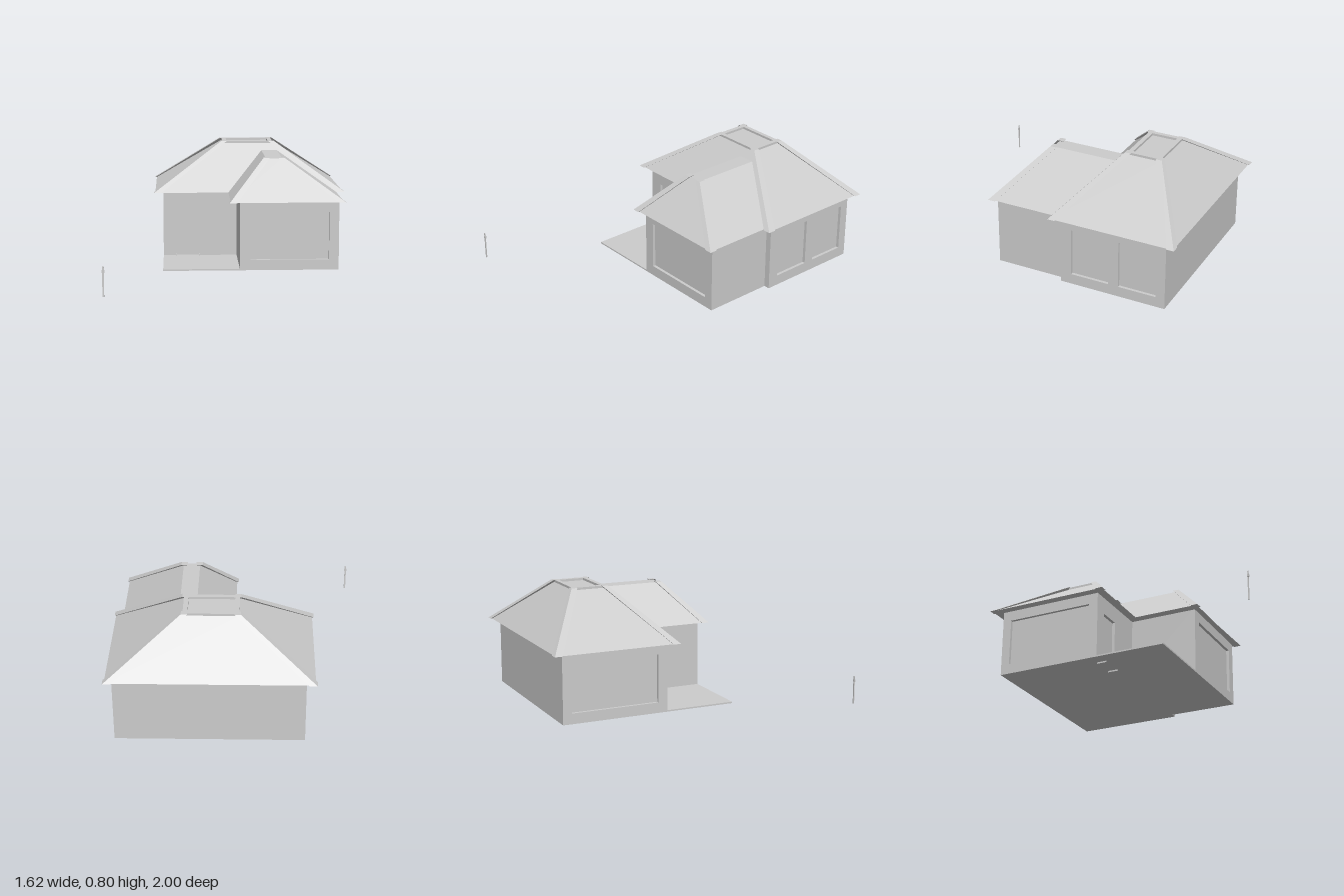
import * as THREE from 'three';

const material = new THREE.MeshStandardMaterial({ color: 0xcccccc, flatShading: true });
const BASE = 0.01, EAVE = 0.47, RECESS = 0.02;

function add(parent, name, geometry) {
  const mesh = new THREE.Mesh(geometry, material);
  mesh.name = name;
  parent.add(mesh);
  return mesh;
}

// Box given by its limits on each axis
function block(parent, name, x0, x1, y0, y1, z0, z1) {
  const mesh = add(parent, name, new THREE.BoxGeometry(x1 - x0, y1 - y0, z1 - z0));
  mesh.position.set((x0 + x1) / 2, (y0 + y1) / 2, (z0 + z1) / 2);
  return mesh;
}

// Closed solid between two four-cornered plans at different heights
function loft(low, y0, high, y1) {
  const area = low.reduce((s, [x, z], i) => {
    const [nx, nz] = low[(i + 1) % 4];
    return s + x * nz - nx * z;
  }, 0);
  if (area > 0) { low = [...low].reverse(); high = [...high].reverse(); }
  const a = low.map(([x, z]) => [x, y0, z]), b = high.map(([x, z]) => [x, y1, z]);
  const points = [];
  const quad = (p, q, r, s) => points.push(...p, ...q, ...r, ...p, ...r, ...s);
  for (let i = 0; i < 4; i++) {
    const j = (i + 1) % 4;
    quad(a[i], a[j], b[j], b[i]);
  }
  quad(b[0], b[1], b[2], b[3]);
  quad(a[3], a[2], a[1], a[0]);
  const geometry = new THREE.BufferGeometry();
  geometry.setAttribute('position', new THREE.Float32BufferAttribute(points, 3));
  geometry.computeVertexNormals();
  return geometry;
}

const rect = (x0, x1, z0, z1) => [[x0, z0], [x1, z0], [x1, z1], [x0, z1]];

// Plan of a hip strip: a small square reaching inwards from a corner
const corner = (x, z, sx, sz, w) => [[x, z], [x + sx * w, z], [x + sx * w, z + sz * w], [x, z + sz * w]];

function rectShape(Kind, u0, u1, v0, v1) {
  return new Kind([[u0, v0], [u1, v0], [u1, v1], [u0, v1]].map(p => new THREE.Vector2(...p)));
}

// Wall sheet with rectangular openings
function wall(parent, name, u0, u1, openings) {
  const shape = rectShape(THREE.Shape, u0, u1, BASE, EAVE);
  openings.forEach(o => shape.holes.push(rectShape(THREE.Path, ...o)));
  return add(parent, name, new THREE.ExtrudeGeometry(shape, { depth: RECESS, bevelEnabled: false }));
}

export function createModel() {
  const house = new THREE.Group();
  house.name = 'house';

  // Main block: the core forms the recessed panes and the door leaf
  const main = new THREE.Group();
  main.name = 'mainBlock';
  house.add(main);
  block(main, 'mainCore', -0.43, 0.74, BASE, EAVE, -0.93, -0.225);
  wall(main, 'doorWall', -0.43, 0.74, [[-0.36, -0.2, 0.02, 0.355]]).position.z = -0.225;
  const windowWall = wall(main, 'twoWindowWall', 0.205, 0.93, [[0.28, 0.54, 0.08, 0.4], [0.61, 0.87, 0.08, 0.4]]);
  windowWall.rotation.y = Math.PI / 2;
  windowWall.position.x = 0.74;
  const wideWall = wall(main, 'wideWindowWall', -0.93, -0.205, [[-0.87, -0.27, 0.08, 0.4]]);
  wideWall.rotation.y = -Math.PI / 2;
  wideWall.position.x = -0.43;
  for (const x of [-0.36, -0.2]) block(main, 'doorJambFoot', x - 0.003, x + 0.003, 0, 0.03, -0.248, -0.18);

  // Front wing
  const wing = new THREE.Group();
  wing.name = 'frontWing';
  house.add(wing);
  block(wing, 'wingCore', 0.06, 0.72, BASE, EAVE, -0.215, 0.25);
  wall(wing, 'wingFrontWall', 0.06, 0.72, [[0.13, 0.655, 0.08, 0.4]]).position.z = 0.25;

  // Porch floor
  block(house, 'porchSlab', -0.45, 0.06, BASE, 0.02, -0.205, 0.27);

  // Main roof: slightly sunken slopes between raised hips
  const roof = new THREE.Group();
  roof.name = 'mainRoof';
  house.add(roof);
  add(roof, 'roofSlopes', loft(rect(-0.505, 0.8, -0.99, -0.15), EAVE, rect(-0.03, 0.325, -0.688, -0.455), 0.78));
  for (const sx of [1, -1]) for (const sz of [1, -1]) {
    const low = corner(sx > 0 ? -0.515 : 0.81, sz > 0 ? -1 : -0.14, sx, sz, 0.05);
    const high = corner(sx > 0 ? -0.04 : 0.335, sz > 0 ? -0.7 : -0.445, sx, sz, 0.04);
    add(roof, 'hip', loft(low, EAVE, high, 0.795));
  }

  // Frame around the sunken flat top
  const frame = rectShape(THREE.Shape, -0.03, 0.325, 0.455, 0.688);
  frame.holes.push(rectShape(THREE.Path, 0, 0.295, 0.485, 0.66));
  const top = add(roof, 'ridgeFrame', new THREE.ExtrudeGeometry(frame, { depth: 0.02, bevelEnabled: false }));
  top.rotation.x = -Math.PI / 2;
  top.position.y = 0.775;

  // Wing roof, running back into the main roof
  const wingRoof = new THREE.Group();
  wingRoof.name = 'wingRoof';
  house.add(wingRoof);
  add(wingRoof, 'wingSlopes', loft(rect(0, 0.75, -0.5, 0.31), EAVE, rect(0.245, 0.355, -0.5, 0.06), 0.733));
  for (const sx of [1, -1]) {
    const low = corner(sx > 0 ? -0.01 : 0.76, 0.32, sx, -1, 0.05);
    const high = corner(sx > 0 ? 0.228 : 0.37, 0.072, sx, -1, 0.042);
    add(wingRoof, 'wingHip', loft(low, EAVE, high, 0.738));
  }

  // Small flat post standing in front
  const post = new THREE.Group();
  post.name = 'post';
  house.add(post);
  const outline = new THREE.Shape();
  outline.moveTo(-0.811, BASE);
  outline.lineTo(-0.8, BASE);
  outline.lineTo(-0.8, 0.194);
  outline.absarc(-0.8055, 0.194, 0.0055, 0, Math.PI, false);
  const shaft = add(post, 'postShaft', new THREE.ExtrudeGeometry(outline, { depth: 0.005, bevelEnabled: false, curveSegments: 6 }));
  shaft.position.z = 0.993;
  block(post, 'postCollar', -0.814, -0.797, 0.16, 0.176, 0.991, 1);

  return house;
}
